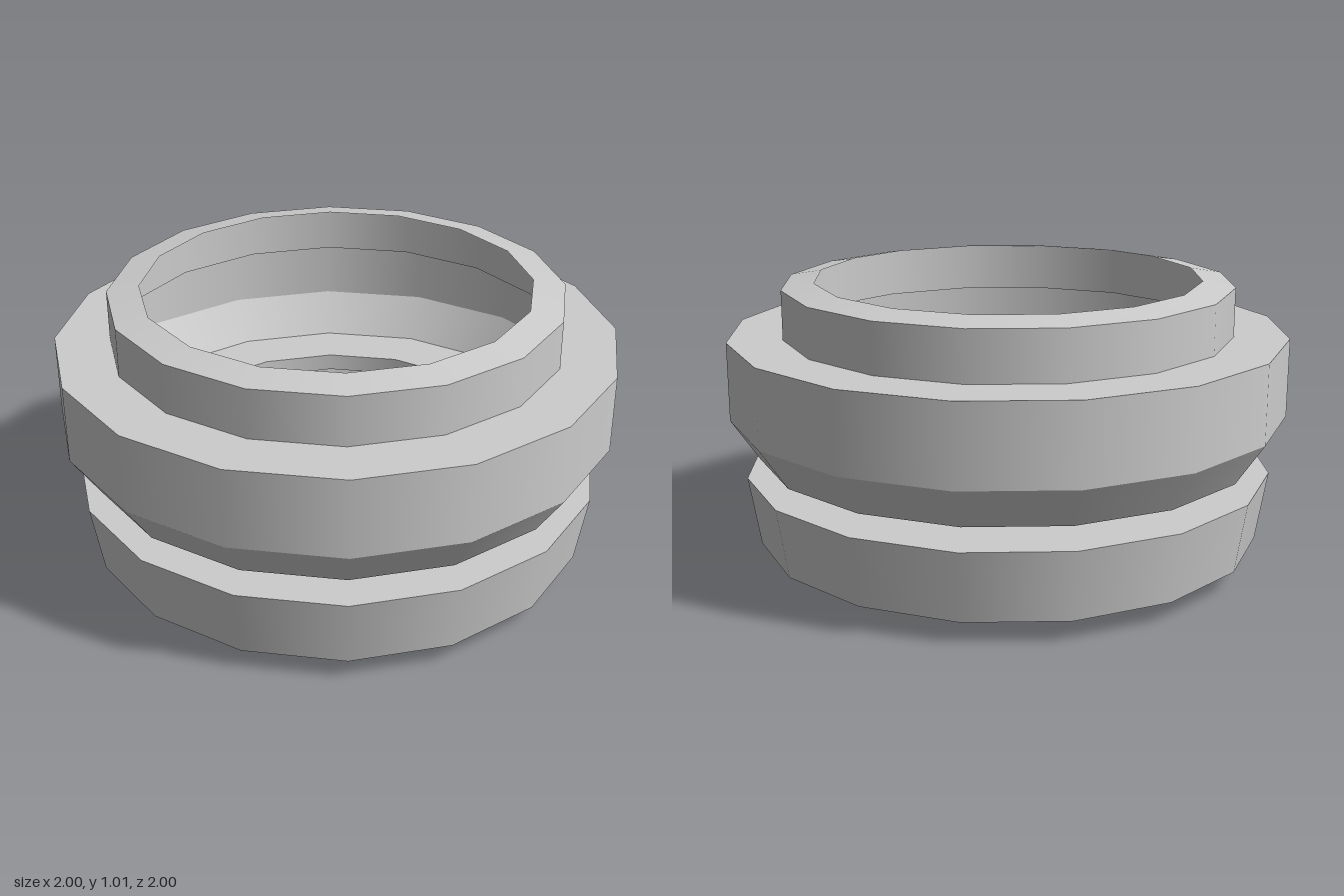
import * as THREE from 'three';

const SIDES = 16;

export function createModel() {
  const group = new THREE.Group();
  group.name = 'groovedRing';
  const grey = new THREE.MeshStandardMaterial({ color: 0xcccccc, side: THREE.DoubleSide });
  grey.name = 'light grey';

  // Each band is a thin turned sheet, smooth around and sharp where bands meet.
  const band = (name, ...points) => {
    const profile = points.map(([r, y]) => new THREE.Vector2(r, y));
    const mesh = new THREE.Mesh(new THREE.LatheGeometry(profile, SIDES), grey);
    mesh.name = name;
    group.add(mesh);
  };

  // Base with a central hole
  band('holeLip', [0.31, 0.055], [0.31, 0]);
  band('bottom', [0.31, 0], [0.68, 0], [0.91, 0.075]);

  // Lower ring
  band('lowerWall', [0.91, 0.075], [0.95, 0.325]);
  band('lowerShoulder', [0.95, 0.325], [0.69, 0.325]);

  // Groove between the rings
  band('neck', [0.69, 0.325], [0.69, 0.39]);
  band('upperUnderside', [0.69, 0.39], [0.9, 0.39]);

  // Upper ring
  band('upperChamfer', [0.9, 0.39], [1, 0.54]);
  band('upperWall', [1, 0.54], [1, 0.82]);
  band('upperShoulder', [1, 0.82], [0.805, 0.82]);

  // Collar and open rim
  band('collar', [0.805, 0.82], [0.805, 0.995]);
  band('rim', [0.805, 0.995], [0.69, 1.015]);

  return group;
}
